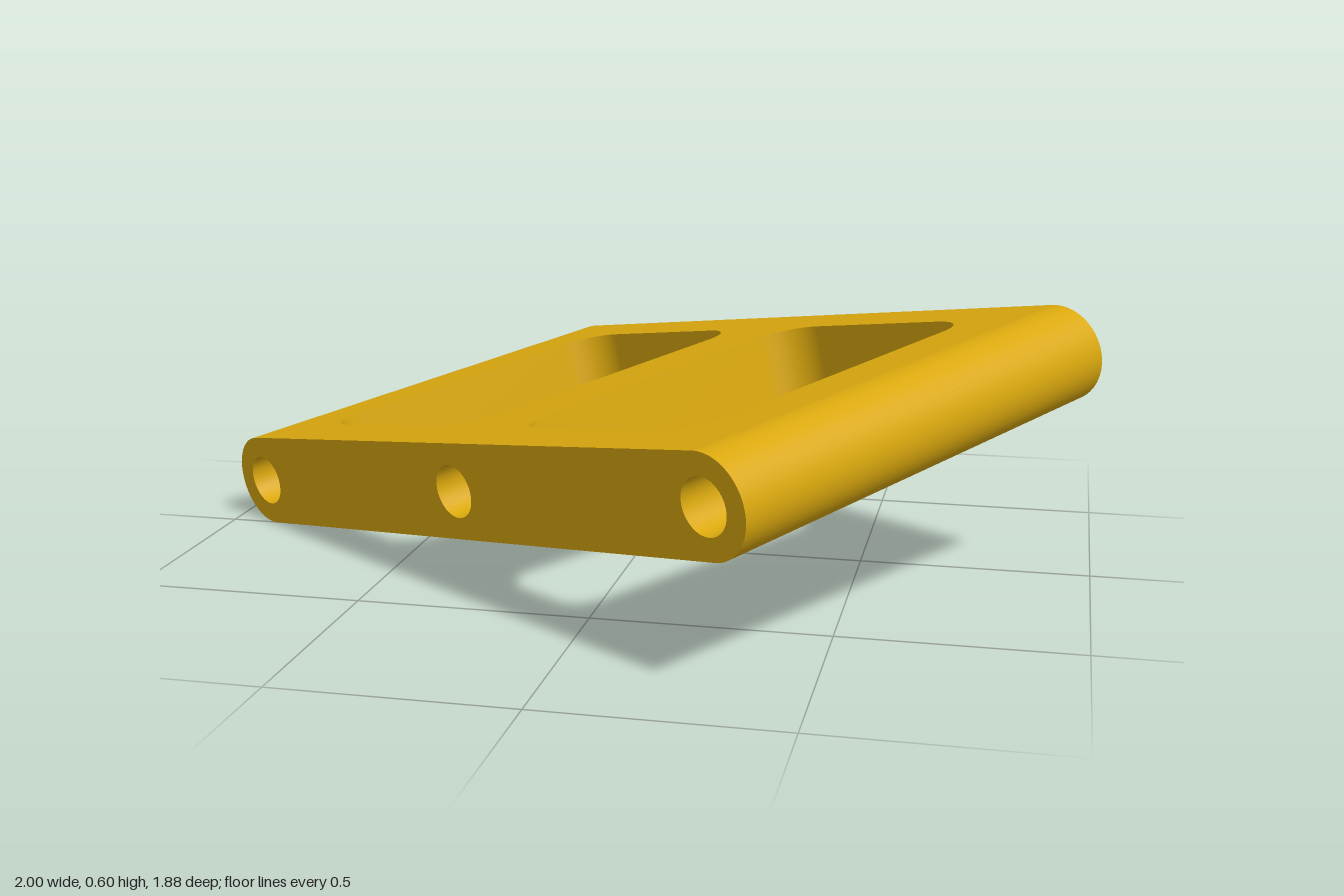
import * as THREE from 'three';

const HALF_L = 0.76;   // hole centre to middle, along the plate
const HALF_W = 0.54;   // half width of the plate
const R = 0.105;       // half thickness and radius of the rounded ends
const BORE = 0.058;
const SEG = 16;

// Rounded rectangle outline of a window
function windowPath(cx, hx, hy, r) {
  const p = new THREE.Path();
  p.absarc(cx + hx - r, hy - r, r, 0, Math.PI / 2);
  p.absarc(cx - hx + r, hy - r, r, Math.PI / 2, Math.PI);
  p.absarc(cx - hx + r, -hy + r, r, Math.PI, Math.PI * 1.5);
  p.absarc(cx + hx - r, -hy + r, r, Math.PI * 1.5, Math.PI * 2);
  p.closePath();
  return p;
}

// Closed inward-facing wall along an outline, smooth around the corners
function wall(points, depth) {
  const n = points.length, pos = [], index = [];
  points.forEach(p => pos.push(p.x, p.y, -depth / 2, p.x, p.y, depth / 2));
  for (let i = 0; i < n; i++) {
    const a = 2 * i, b = 2 * ((i + 1) % n);
    index.push(a, a + 1, b, b, a + 1, b + 1);
  }
  const g = new THREE.BufferGeometry();
  g.setAttribute('position', new THREE.Float32BufferAttribute(pos, 3));
  g.setIndex(index);
  g.computeVertexNormals();
  return g;
}

export function createModel() {
  const gold = new THREE.MeshStandardMaterial({ color: 0xdaa80e, side: THREE.DoubleSide });
  gold.name = 'gold';
  const model = new THREE.Group();
  model.name = 'windowedLinkPlate';
  const add = (geometry, name) => {
    const m = new THREE.Mesh(geometry, gold);
    m.name = name;
    model.add(m);
    return m;
  };

  // Broad top and bottom faces with two windows
  const windows = [-0.36, 0.36].map(x => windowPath(x, 0.275, 0.422, 0.095));
  const plate = new THREE.Shape();
  plate.moveTo(-HALF_L, -HALF_W);
  plate.lineTo(HALF_L, -HALF_W);
  plate.lineTo(HALF_L, HALF_W);
  plate.lineTo(-HALF_L, HALF_W);
  plate.closePath();
  plate.holes.push(...windows);
  for (const s of [1, -1]) {
    const g = new THREE.ShapeGeometry(plate, SEG).rotateX(-s * Math.PI / 2);
    add(g, s > 0 ? 'topFace' : 'bottomFace').position.y = s * R;
  }

  // Window walls
  windows.forEach(w => {
    const pts = w.getPoints(SEG);
    if (pts[0].distanceTo(pts[pts.length - 1]) < 1e-6) pts.pop();
    add(wall(pts, 2 * R).rotateX(-Math.PI / 2), 'windowWall');
  });

  // Rounded ends
  for (const s of [1, -1]) {
    const g = new THREE.CylinderGeometry(R, R, 2 * HALF_W, 2 * SEG, 1, true, s > 0 ? 0 : Math.PI, Math.PI);
    add(g.rotateX(Math.PI / 2), 'roundedEnd').position.x = s * HALF_L;
  }

  // Capsule-shaped side faces with three holes
  const side = new THREE.Shape();
  side.absarc(HALF_L, 0, R, -Math.PI / 2, Math.PI / 2);
  side.absarc(-HALF_L, 0, R, Math.PI / 2, Math.PI * 1.5);
  side.closePath();
  const boreXs = [-HALF_L, 0, HALF_L];
  boreXs.forEach(x => side.holes.push(new THREE.Path().absarc(x, 0, BORE, 0, Math.PI * 2)));
  for (const s of [1, -1]) {
    const g = new THREE.ShapeGeometry(side, SEG);
    if (s < 0) g.rotateY(Math.PI);
    add(g, s > 0 ? 'frontSide' : 'backSide').position.z = s * HALF_W;
  }

  // Bores running through the bars
  boreXs.forEach(x => {
    const g = new THREE.CylinderGeometry(BORE, BORE, 2 * HALF_W, 2 * SEG, 1, true);
    add(g.rotateX(Math.PI / 2), 'bore').position.x = x;
  });

  // Turn the plate, then tilt it
  model.rotation.set(0, THREE.MathUtils.degToRad(-35), THREE.MathUtils.degToRad(12), 'ZYX');
  model.position.y = 0.299;
  const root = new THREE.Group();
  root.name = 'tiltedPlate';
  root.add(model);
  return root;
}
